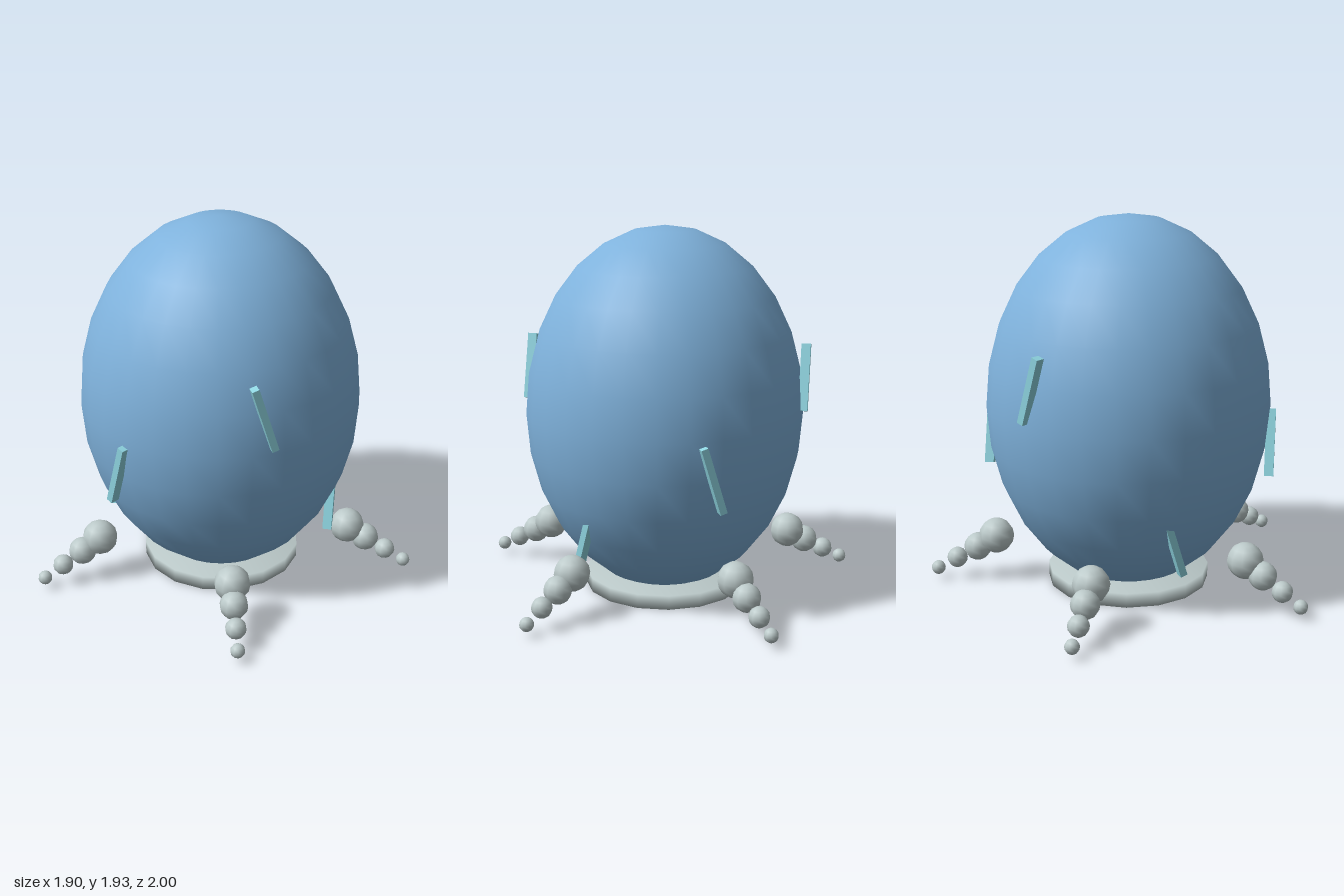
import * as THREE from 'three';
import { mergeVertices } from 'three/addons/utils/BufferGeometryUtils.js';

const paint = (name, color) => Object.assign(new THREE.MeshStandardMaterial({ color }), { name });

export function createModel() {
  const blue = paint('body blue', 0x7fb2dc);
  const grey = paint('pale grey', 0xbccaca);
  const cyan = paint('light cyan', 0x8fd6e2);

  const model = new THREE.Group();
  model.name = 'eggPod';
  // everything is arranged around the body axis
  const pod = new THREE.Group();
  pod.name = 'pod';
  pod.position.x = -0.1;
  model.add(pod);

  const add = (parent, name, geometry, material, x, y, z) => {
    const mesh = new THREE.Mesh(geometry, material);
    mesh.name = name;
    mesh.position.set(x, y, z);
    parent.add(mesh);
    return mesh;
  };

  // group whose local +x points outward at the given angle (from +x towards +z)
  const spoke = (name, angle) => {
    const group = new THREE.Group();
    group.name = name;
    group.rotation.y = -angle;
    pod.add(group);
    return group;
  };

  // egg-shaped body
  const egg = new THREE.SphereGeometry(1, 28, 14).scale(0.732, 0.967, 0.732);
  add(pod, 'body', egg, blue, 0, 0.969, 0);

  // base disc, softly shaded over its rim
  let disc = new THREE.CylinderGeometry(0.425, 0.425, 0.075, 16);
  disc.deleteAttribute('uv');
  disc.deleteAttribute('normal');
  disc = mergeVertices(disc);
  disc.computeVertexNormals();
  add(pod, 'baseDisc', disc, grey, 0, 0.0385, 0);

  // five tentacles of shrinking beads: [distance, height, radius]
  const beads = [[0.7, 0.24, 0.093], [0.8, 0.18, 0.073], [0.91, 0.12, 0.054], [1.012, 0.064, 0.037]];
  for (let i = 0; i < 5; i++) {
    const tentacle = spoke('tentacle', (i * Math.PI * 2) / 5);
    for (const [r, y, size] of beads) {
      add(tentacle, 'tentacleBead', new THREE.SphereGeometry(size, 10, 8), grey, r, y, 0);
    }
  }

  // six slanted strips at three heights, leaning alternately
  const levels = [[0.6, 0.4], [0.735, 1.17], [0.735, 0.78]];
  const bar = new THREE.BoxGeometry(0.048, 0.347, 0.036);
  for (let i = 0; i < 6; i++) {
    const [r, y] = levels[i % 3];
    const strip = add(spoke('stripMount', (i * Math.PI) / 3), 'strip', bar, cyan, r, y, 0);
    strip.rotation.x = i % 2 ? 0.3 : -0.3;
  }

  return model;
}
